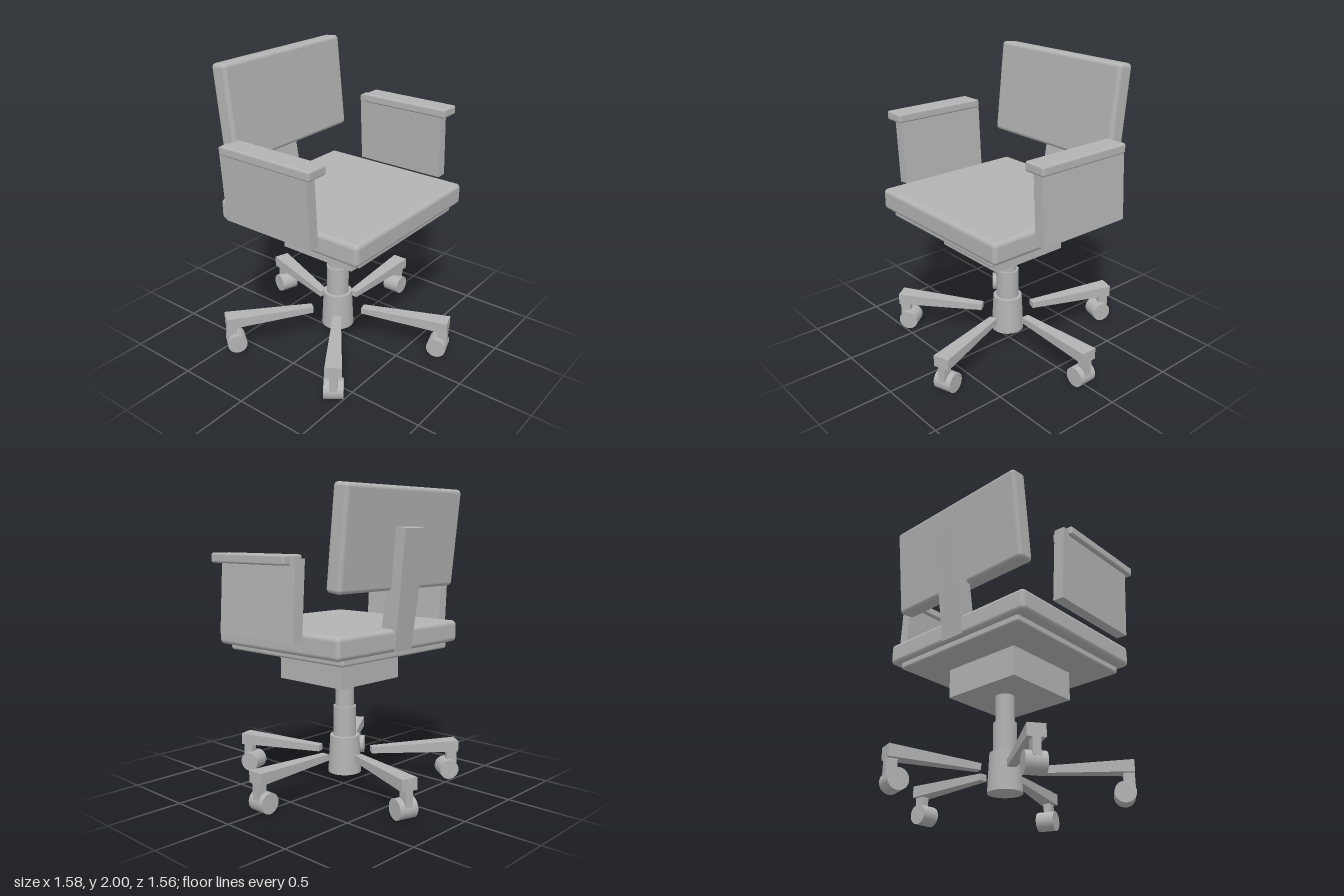
import * as THREE from 'three';
import { RoundedBoxGeometry } from 'three/addons/geometries/RoundedBoxGeometry.js';

export function createModel() {
  const grey = new THREE.MeshStandardMaterial({ color: 0xb3b3b3 });
  grey.name = 'plain grey';
  const chair = new THREE.Group();
  chair.name = 'officeChair';
  const CX = -0.012; // axis of the column and base

  function add(name, geometry, x, y, z, parent = chair) {
    const mesh = new THREE.Mesh(geometry, grey);
    mesh.name = name;
    mesh.position.set(x, y, z);
    parent.add(mesh);
    return mesh;
  }

  // Box whose corners (u, v, w = -1 or 1) are moved by a rule
  function shapedBox(rule) {
    const g = new THREE.BoxGeometry(2, 2, 2);
    const p = g.attributes.position;
    for (let i = 0; i < p.count; i++) p.setXYZ(i, ...rule(p.getX(i), p.getY(i), p.getZ(i)));
    g.computeVertexNormals();
    return g;
  }

  // Seat, plate and mechanism
  add('seatCushion', new RoundedBoxGeometry(1.18, 0.145, 1.1, 4, 0.03), CX, 1.05, 0.05);
  add('seatPlate', new RoundedBoxGeometry(1.035, 0.07, 1.03, 3, 0.015), CX, 0.97, 0.05);
  add('mechanism', new THREE.BoxGeometry(0.565, 0.205, 0.565), CX, 0.8375, 0.048);

  // Backrest, leaning backwards
  const back = add('backrest', new RoundedBoxGeometry(1.11, 0.635, 0.118, 4, 0.027), CX, 1.68, -0.45);
  back.rotation.x = -0.105;

  // Tapered post behind the backrest
  add('backPost', shapedBox((u, v, w) => {
    const top = v > 0;
    const z = top ? (w > 0 ? -0.515 : -0.595) : (w > 0 ? -0.37 : -0.5);
    const y = top ? (w > 0 ? 1.75 : 1.74) : 0.985;
    return [u * (top ? 0.102 : 0.083), y, z];
  }), CX, 0, 0);

  // Armrests: both side panels lean the same way
  for (const [side, padX, panelX] of [['left', 0.693, 0.691], ['right', -0.717, -0.7165]]) {
    add(side + 'ArmPad', new RoundedBoxGeometry(0.152, 0.062, 0.67, 3, 0.014), padX, 1.559, 0.08);
    const panel = add(side + 'ArmPanel', new THREE.BoxGeometry(0.073, 0.487, 0.67), panelX, 1.325, 0.035);
    panel.rotation.z = 0.057;
  }

  // Column in three steps
  for (const [name, rTop, rBottom, y0, y1] of [
    ['upperColumn', 0.063, 0.063, 0.54, 0.74],
    ['middleColumn', 0.077, 0.077, 0.34, 0.55],
    ['hub', 0.1, 0.113, 0.09, 0.347],
  ]) {
    add(name, new THREE.CylinderGeometry(rTop, rBottom, y1 - y0, 40), CX, (y0 + y1) / 2, 0);
  }

  // Five arms with casters
  const armGeometry = shapedBox((u, v, w) => u > 0
    ? [0.8, v > 0 ? 0.27 : 0.192, w * 0.055]
    : [0.185, v > 0 ? 0.25 : 0.207, w * 0.028]);
  const stemGeometry = new THREE.BoxGeometry(0.07, 0.12, 0.05);
  const wheelGeometry = new THREE.CylinderGeometry(0.067, 0.067, 0.126, 32).rotateX(Math.PI / 2);
  for (let i = 0; i < 5; i++) {
    const leg = new THREE.Group();
    leg.name = 'baseLeg' + (i + 1);
    leg.position.x = CX;
    leg.rotation.y = i * Math.PI * 2 / 5;
    add('baseArm', armGeometry, 0, 0, 0, leg);
    add('casterStem', stemGeometry, 0.765, 0.15, 0, leg);
    add('casterWheel', wheelGeometry, 0.735, 0.067, 0, leg);
    chair.add(leg);
  }
  return chair;
}
